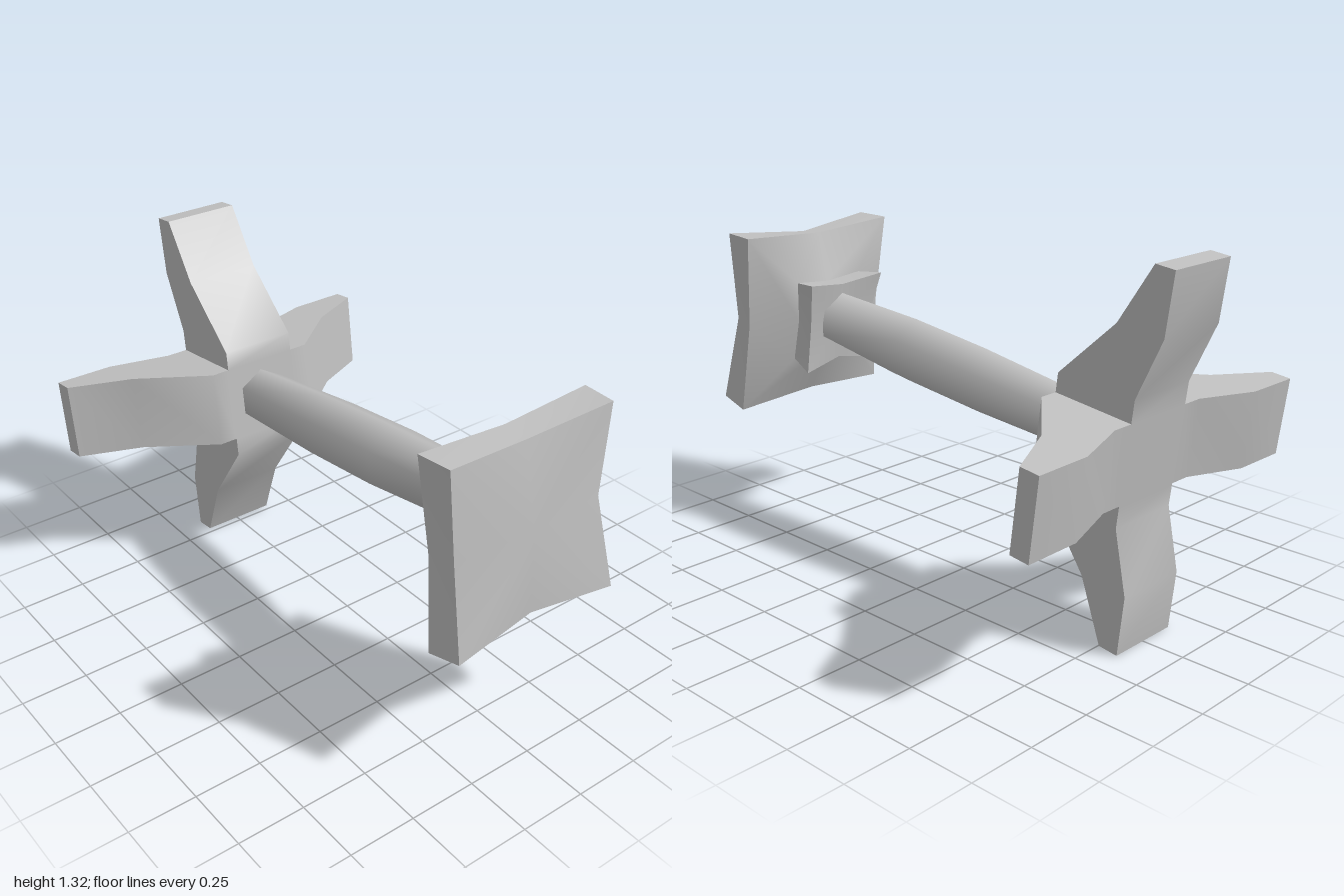
import * as THREE from 'three';
import { toCreasedNormals } from 'three/addons/utils/BufferGeometryUtils.js';

const stone = new THREE.MeshStandardMaterial({ color: 0xc0c0c0 });
stone.name = 'grey stone';

function part(name, geometry, parent, crease = 0.85) {
  const mesh = new THREE.Mesh(toCreasedNormals(geometry, crease), stone);
  mesh.name = name;
  parent.add(mesh);
  return mesh;
}

// Eight-point square section across x: corners and edge middles set separately
function squareRing({ u, corner, mid, midU, y = 0 }) {
  const ring = [];
  for (let j = 0; j < 8; j++) {
    const a = j * Math.PI / 4;
    const isCorner = j % 2 === 1;
    const r = isCorner ? corner * Math.SQRT2 : mid;
    ring.push([isCorner ? u : midU, r * Math.cos(a) + y, r * Math.sin(a)]);
  }
  return ring;
}

// Joins the sections and closes both ends with a fan
function loft(sections, startU, endU) {
  const rings = sections.map(squareRing);
  const pos = [];
  const last = rings.length - 1;
  for (let j = 0; j < 8; j++) {
    const k = (j + 1) % 8;
    for (let i = 0; i < last; i++) {
      const a = rings[i][j], b = rings[i][k], c = rings[i + 1][k], d = rings[i + 1][j];
      pos.push(...a, ...b, ...c, ...a, ...c, ...d);
    }
    pos.push(startU, 0, 0, ...rings[0][k], ...rings[0][j]);
    pos.push(endU, sections[last].y || 0, 0, ...rings[last][j], ...rings[last][k]);
  }
  const g = new THREE.BufferGeometry();
  g.setAttribute('position', new THREE.Float32BufferAttribute(pos, 3));
  return g;
}

export function createModel() {
  const model = new THREE.Group();
  model.name = 'fallen pedestal';

  // Everything lies along a slightly tilted axis
  const body = new THREE.Group();
  body.name = 'pedestal';
  body.position.set(-0.535, 0.705, 0);
  body.rotation.z = THREE.MathUtils.degToRad(7);
  model.add(body);

  // Hub and four splayed feet
  const half = 0.143;
  const hub = new THREE.BoxGeometry(0.31, half * 2, half * 2);
  hub.translate(-0.155, 0, 0);
  part('footHub', hub, body);

  const profile = new THREE.Shape([
    [0, half], [0, 0.212], [-0.202, 0.443], [-0.311, 0.662],
    [-0.386, 0.662], [-0.383, 0.445], [-0.31, 0.224], [-0.31, half],
  ].map(([x, y]) => new THREE.Vector2(x, y)));
  const foot = new THREE.ExtrudeGeometry(profile, { depth: half * 2, bevelEnabled: false });
  foot.translate(0, 0, -half);
  for (let i = 0; i < 4; i++) {
    part('foot' + (i + 1), foot, body).rotation.x = i * Math.PI / 2;
  }

  // Six-sided swelling shaft
  const shaftProfile = [[0.103, -0.02], [0.104, 0], [0.122, 0.45], [0.124, 0.8], [0.105, 1.23]]
    .map(([r, u]) => new THREE.Vector2(r, u));
  const shaft = new THREE.LatheGeometry(shaftProfile, 6, Math.PI / 2);
  shaft.rotateZ(-Math.PI / 2);
  part('shaft', shaft, body, 1.1);

  // Flared collar and square top plate with drawn-out corners
  part('topPlate', loft([
    { u: 1.19, corner: 0.176, mid: 0.15, midU: 1.215, y: -0.008 },
    { u: 1.3, corner: 0.154, mid: 0.14, midU: 1.3, y: -0.008 },
    { u: 1.37, corner: 0.345, mid: 0.325, midU: 1.37, y: -0.016 },
    { u: 1.5, corner: 0.333, mid: 0.306, midU: 1.465, y: -0.016 },
  ], 1.215, 1.49), body);

  return model;
}
